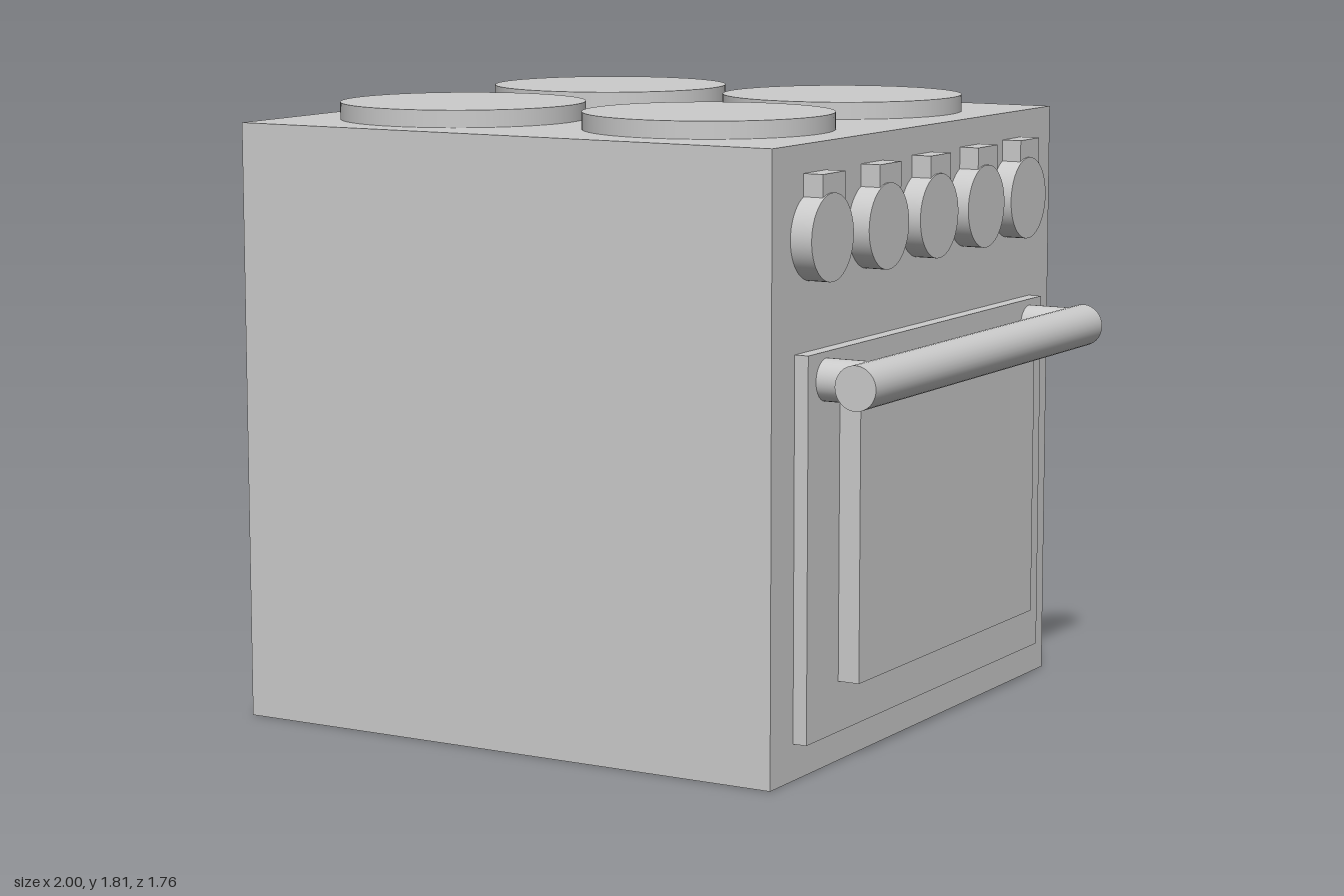
import * as THREE from 'three';

const material = new THREE.MeshStandardMaterial({ color: 0xcccccc });

// Box given by its extents along each axis
function box(name, [x0, x1], [y0, y1], [z0, z1]) {
  const mesh = new THREE.Mesh(new THREE.BoxGeometry(x1 - x0, y1 - y0, z1 - z0), material);
  mesh.name = name;
  mesh.position.set((x0 + x1) / 2, (y0 + y1) / 2, (z0 + z1) / 2);
  return mesh;
}

// Cylinder centred on a point, lying along the chosen axis
function cylinder(name, radius, length, axis, x, y, z, sides = 48) {
  const geometry = new THREE.CylinderGeometry(radius, radius, length, sides);
  if (axis === 'x') geometry.rotateZ(-Math.PI / 2);
  if (axis === 'z') geometry.rotateX(Math.PI / 2);
  const mesh = new THREE.Mesh(geometry, material);
  mesh.name = name;
  mesh.position.set(x, y, z);
  return mesh;
}

export function createModel() {
  const stove = new THREE.Group();
  stove.name = 'stove';
  const face = 0.755; // the side that carries the door and knobs

  stove.add(box('body', [-1, face], [0, 1.76], [-0.88, 0.88]));

  // Four hot plates on the top
  for (const [x, z] of [[-0.54, -0.415], [0.28, -0.415], [-0.54, 0.415], [0.28, 0.393]]) {
    stove.add(cylinder('hotPlate', 0.361, 0.05, 'y', x, 1.785, z, 64));
  }

  // Oven door with raised window
  const door = new THREE.Group();
  door.name = 'ovenDoor';
  door.add(box('doorPanel', [face, 0.797], [0.105, 1.19], [-0.745, 0.75]));
  door.add(box('doorWindow', [0.79, 0.862], [0.25, 1.05], [-0.562, 0.565]));

  // Round handle bar on two posts
  door.add(cylinder('handleBar', 0.063, 1.49, 'z', 0.937, 1.11, -0.003, 32));
  for (const z of [-0.66, 0.645]) {
    door.add(cylinder('handlePost', 0.06, 0.15, 'x', 0.865, 1.112, z, 32));
  }
  stove.add(door);

  // Row of control knobs, each a disc with a pointer tab at the top
  for (const z of [0.655, 0.32, 0.005, -0.305, -0.595]) {
    const knob = new THREE.Group();
    knob.name = 'knob';
    knob.add(cylinder('knobDisc', 0.122, 0.065, 'x', face + 0.0325, 1.505, z));
    knob.add(box('knobPointer', [face, 0.815], [1.56, 1.68], [z - 0.081, z + 0.049]));
    stove.add(knob);
    knob.children[1].position.z = z - 0.016;
  }

  return stove;
}
